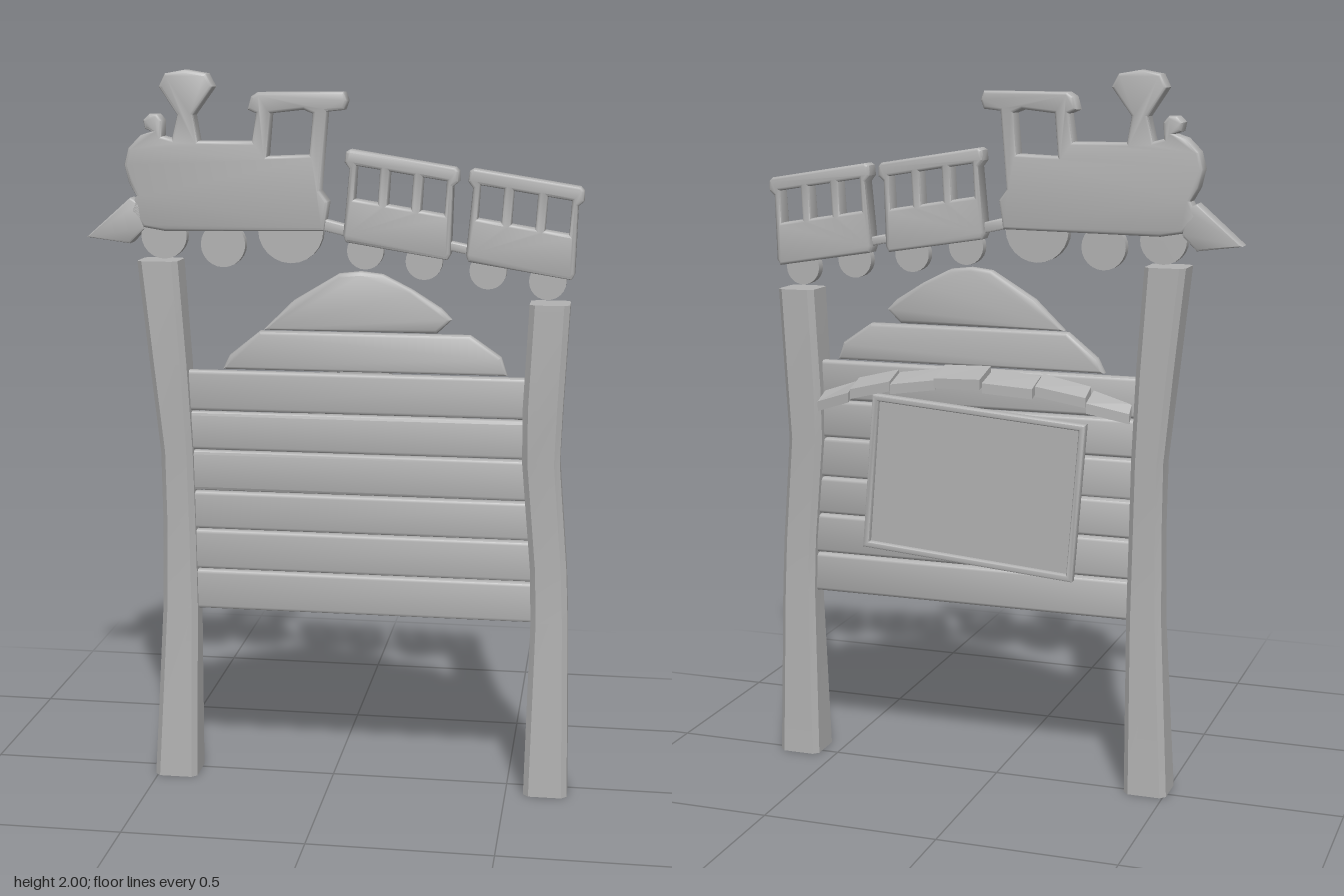
import * as THREE from 'three';
import { toCreasedNormals } from 'three/addons/utils/BufferGeometryUtils.js';

const grey = new THREE.MeshStandardMaterial({ color: 0xb2b2b2 });

function add(parent, name, geometry) {
  const mesh = new THREE.Mesh(geometry, grey);
  mesh.name = name;
  parent.add(mesh);
  return mesh;
}

// Bevelled plate cut from an outline, lying between z0 and z1
function plate(points, z0, z1, bevel, holes = []) {
  const toVectors = list => list.map(p => new THREE.Vector2(p[0], p[1]));
  const shape = new THREE.Shape(toVectors(points));
  for (const h of holes) shape.holes.push(new THREE.Path(toVectors(h)));
  const geometry = new THREE.ExtrudeGeometry(shape, {
    depth: z1 - z0 - 2 * bevel, bevelEnabled: true, bevelThickness: bevel,
    bevelSize: bevel, bevelOffset: -bevel, bevelSegments: 2,
  });
  geometry.translate(0, 0, z0 + bevel);
  return toCreasedNormals(geometry, 0.85);
}

const rect = (x0, x1, y0, y1) => [[x0, y0], [x1, y0], [x1, y1], [x0, y1]];

// Post lofted through chamfered sections [y, x0, x1, z0, z1]
function post(sections) {
  const c = 0.015, pos = [], idx = [];
  for (const [y, a, b, d, e] of sections) {
    const ring = [[a + c, e], [b - c, e], [b, e - c], [b, d + c],
      [b - c, d], [a + c, d], [a, d + c], [a, e - c]];
    for (const [x, z] of ring) pos.push(x, y, z);
  }
  for (let s = 0; s < sections.length - 1; s++) {
    for (let i = 0; i < 8; i++) {
      const j = (i + 1) % 8, p = s * 8;
      idx.push(p + i, p + j, p + 8 + j, p + i, p + 8 + j, p + 8 + i);
    }
  }
  const top = (sections.length - 1) * 8;
  for (let i = 1; i < 7; i++) {
    idx.push(0, i + 1, i, top, top + i, top + i + 1);
  }
  const geometry = new THREE.BufferGeometry();
  geometry.setAttribute('position', new THREE.Float32BufferAttribute(pos, 3));
  geometry.setIndex(idx);
  return toCreasedNormals(geometry, 0.6);
}

function wheel(parent, x, y, r) {
  const geometry = new THREE.CylinderGeometry(r, r, 0.028, 24);
  geometry.rotateX(Math.PI / 2).translate(x, y, 0.025);
  add(parent, 'wheel', geometry);
}

export function createModel() {
  const model = new THREE.Group();
  model.name = 'trainSignboard';

  // Bent posts
  add(model, 'rightPost', post([
    [0, -0.508, -0.386, -0.036, 0.087], [0.5, -0.482, -0.382, -0.022, 0.068],
    [0.75, -0.478, -0.386, -0.02, 0.066], [0.95, -0.48, -0.39, -0.023, 0.07],
    [1.2, -0.505, -0.402, -0.03, 0.079], [1.485, -0.535, -0.422, -0.034, 0.08],
  ]));
  add(model, 'leftPost', post([
    [0, 0.55, 0.672, -0.036, 0.087], [0.5, 0.56, 0.662, -0.022, 0.068],
    [0.65, 0.555, 0.655, -0.02, 0.066], [0.95, 0.528, 0.63, -0.023, 0.07],
    [1.1, 0.527, 0.635, -0.03, 0.079], [1.385, 0.54, 0.648, -0.034, 0.08],
  ]));

  // Planks between the posts, then the two shaped crest boards
  const boards = new THREE.Group();
  boards.name = 'boards';
  model.add(boards);
  const edges = [0.493, 0.61, 0.727, 0.838, 0.955, 1.066, 1.183];
  for (let i = 0; i < 6; i++) {
    add(boards, 'plank', plate(
      rect(-0.41, 0.575 - 0.006 * i, edges[i], edges[i + 1] - 0.004), 0.008, 0.043, 0.01));
  }
  add(boards, 'lowerCrestBoard', plate([[-0.305, 1.185], [0.482, 1.185], [0.465, 1.235],
    [0.38, 1.293], [-0.2, 1.293], [-0.285, 1.225]], 0.008, 0.043, 0.01));
  add(boards, 'upperCrestBoard', plate([[-0.19, 1.297], [0.29, 1.297], [0.33, 1.335],
    [0.3, 1.365], [0.22, 1.415], [0.14, 1.455], [0.08, 1.462], [0.02, 1.455],
    [-0.105, 1.38]], 0.008, 0.043, 0.01));

  // Tilted notice panel with a raised frame on the back
  const notice = new THREE.Group();
  notice.name = 'noticeBoard';
  notice.position.set(0.07, 0.845, 0);
  notice.rotation.z = 0.08;
  model.add(notice);
  const w = 0.315, h = 0.225, t = 0.018;
  add(notice, 'noticePanel', new THREE.BoxGeometry(2 * w - t, 2 * h - t, 0.014))
    .position.z = 0.006;
  add(notice, 'noticeFrame', plate(rect(-w, w, -h, h), -0.018, 0.012, 0.004,
    [rect(-w + t, w - t, -h + t, h - t)]));

  // Arched row of sloping shingles: [x0, x1, outer z at x0, outer z at x1]
  const shingles = new THREE.Group();
  shingles.name = 'shingles';
  model.add(shingles);
  const rows = [[-0.385, -0.278, -0.015, -0.068], [-0.27, -0.133, -0.045, -0.066],
    [-0.126, 0.012, -0.072, -0.09], [0.02, 0.156, -0.085, -0.08],
    [0.159, 0.291, -0.064, -0.069], [0.294, 0.416, -0.064, -0.06],
    [0.418, 0.522, -0.07, -0.047]];
  rows.forEach(([x0, x1, za, zb], i) => {
    const geometry = new THREE.BoxGeometry(1, 1, 1).toNonIndexed();
    const p = geometry.attributes.position;
    for (let k = 0; k < p.count; k++) {
      const f = p.getX(k) + 0.5, outer = p.getZ(k) < 0;
      const x = x0 + (x1 - x0) * f;
      let y = 1.187 - 0.4 * (x - 0.05) ** 2 + (i % 2 ? 0.004 : -0.004);
      if (outer) y -= 0.024;
      if (p.getY(k) < 0) y -= 0.028;
      p.setXYZ(k, x, y, outer ? za + (zb - za) * f : 0.012);
    }
    geometry.computeVertexNormals();
    add(shingles, 'shingle', geometry);
  });

  // Locomotive cut-out
  const train = new THREE.Group();
  train.name = 'train';
  model.add(train);
  const z0 = -0.01, z1 = 0.048, bevel = 0.008;
  add(train, 'locomotive', plate([
    [-0.56, 1.62], [-0.52, 1.575], [-0.46, 1.565], [-0.02, 1.572], [-0.008, 1.65],
    [-0.03, 1.68], [-0.012, 1.89], [0.035, 1.895], [0.044, 1.92], [0.035, 1.943],
    [-0.2, 1.941], [-0.218, 1.93], [-0.228, 1.895], [-0.205, 1.885], [-0.217, 1.81],
    [-0.365, 1.81], [-0.377, 1.88], [-0.322, 1.955], [-0.34, 1.99], [-0.4, 2.0],
    [-0.455, 1.99], [-0.472, 1.955], [-0.422, 1.88], [-0.438, 1.815], [-0.465, 1.822],
    [-0.463, 1.865], [-0.478, 1.882], [-0.5, 1.882], [-0.517, 1.865], [-0.512, 1.842],
    [-0.493, 1.835], [-0.525, 1.825], [-0.56, 1.79], [-0.572, 1.745], [-0.56, 1.695],
    [-0.54, 1.66],
  ], z0, z1, bevel, [[[-0.175, 1.77], [-0.06, 1.775], [-0.05, 1.885],
    [-0.075, 1.895], [-0.165, 1.885]]]));
  add(train, 'cowcatcher', plate([[-0.682, 1.546], [-0.56, 1.53], [-0.52, 1.57],
    [-0.53, 1.64], [-0.558, 1.655]], z0, z1, 0.005));
  wheel(train, -0.465, 1.553, 0.064);
  wheel(train, -0.3, 1.53, 0.062);
  wheel(train, -0.112, 1.572, 0.09);

  // Carriages lean downhill, so their outlines are sheared
  for (const [cx, cy] of [[0.185, 1.642], [0.518, 1.594]]) {
    const lean = ([x, y]) => [cx + x + 0.06 * y, cy + y - 0.16 * x];
    const outline = [[-0.138, -0.122], [0.138, -0.122], [0.146, -0.105], [0.14, 0.075],
      [0.154, 0.09], [0.152, 0.118], [0.142, 0.126], [-0.142, 0.126], [-0.152, 0.118],
      [-0.154, 0.09], [-0.14, 0.075], [-0.146, -0.105]];
    const windows = [-0.09, 0, 0.09].map(x =>
      rect(x - 0.032, x + 0.032, -0.004, 0.086).map(lean));
    add(train, 'carriage', plate(outline.map(lean), z0, z1, bevel, windows));
    for (const x of [-0.084, 0.076]) {
      const [wx, wy] = lean([x, -0.137]);
      wheel(train, wx, wy, 0.05);
    }
  }

  // Couplings
  add(train, 'coupling', plate([[-0.04, 1.575], [0.05, 1.555], [0.05, 1.585],
    [-0.03, 1.605]], 0.0, 0.038, 0.004));
  add(train, 'coupling', plate([[0.31, 1.525], [0.385, 1.51], [0.385, 1.535],
    [0.31, 1.55]], 0.0, 0.038, 0.004));

  return model;
}
